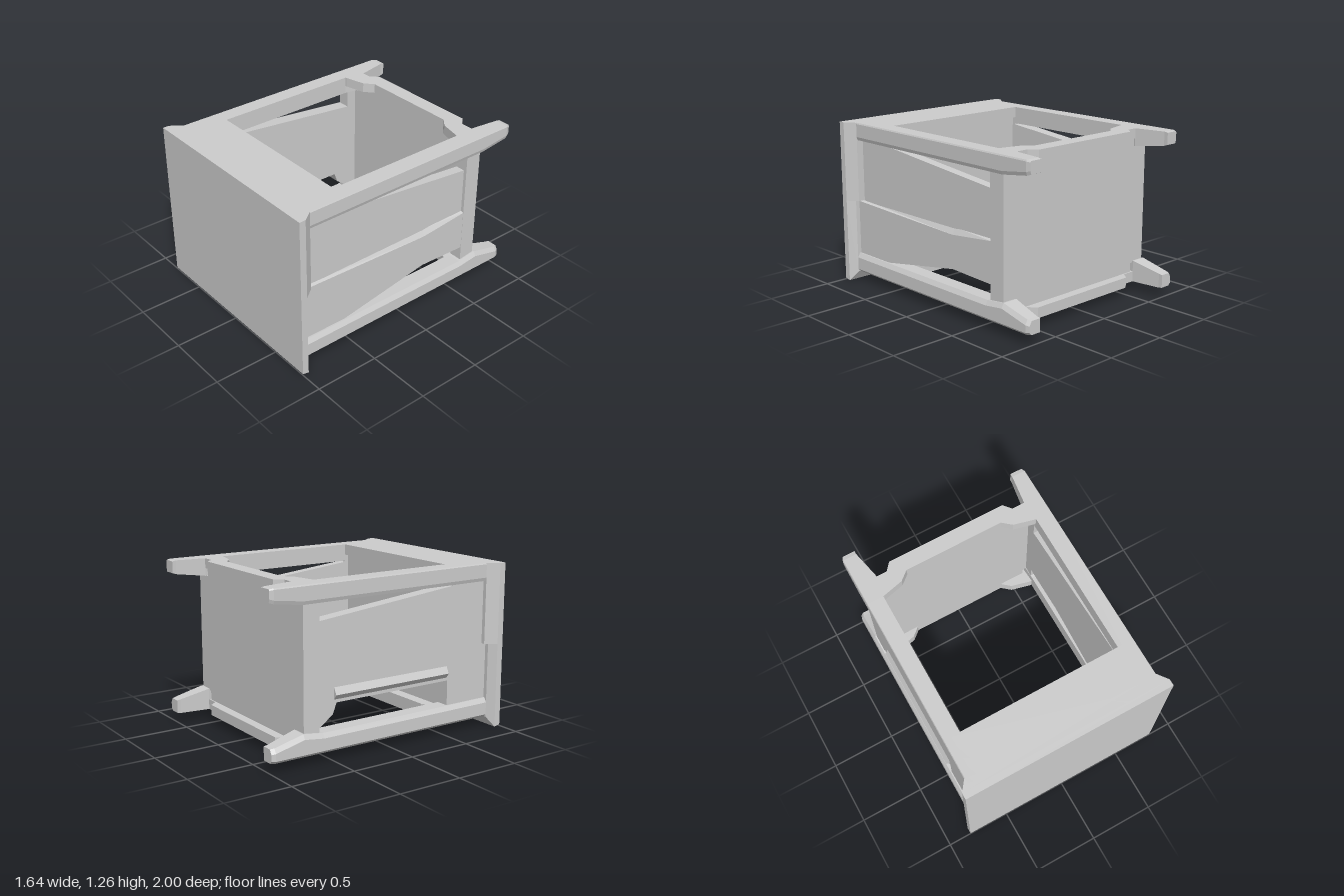
import * as THREE from 'three';

const casing = new THREE.MeshStandardMaterial({ color: 0xcccccc });
casing.name = 'grey casing';

// Closed loft along z; rings are counter-clockwise seen from +z, z ascending
function loft(rings) {
  const pos = [];
  const tri = (...pts) => pts.forEach((p) => pos.push(...p));
  const n = rings[0].pts.length;
  const at = (r, i) => [...r.pts[i % n], r.z];
  for (let k = 0; k + 1 < rings.length; k++) {
    const a = rings[k], b = rings[k + 1];
    for (let i = 0; i < n; i++) {
      tri(at(a, i), at(a, i + 1), at(b, i + 1));
      tri(at(a, i), at(b, i + 1), at(b, i));
    }
  }
  const first = rings[0], last = rings[rings.length - 1];
  for (let i = 1; i + 1 < n; i++) {
    tri(at(first, 0), at(first, i + 1), at(first, i));
    tri(at(last, 0), at(last, i), at(last, i + 1));
  }
  const g = new THREE.BufferGeometry();
  g.setAttribute('position', new THREE.Float32BufferAttribute(pos, 3));
  g.computeVertexNormals();
  return g;
}

const rect = (z, x0, x1, y0, y1) => ({ z, pts: [[x0, y0], [x1, y0], [x1, y1], [x0, y1]] });

// Rail section on side s, outer edges cut by [dx, dy] below and above
function railRing(s, z, x0, x1, y0, y1, low, high) {
  const pts = [[x0, y0], [x1 - low[0], y0], [x1, y0 + low[1]], [x1, y1 - high[1]], [x1 - high[0], y1], [x0, y1]]
    .map(([x, y]) => [s * x, y]);
  return { z, pts: s > 0 ? pts : pts.reverse() };
}

const outline = (pts) => pts.map(([a, b]) => new THREE.Vector2(a, b));

// Horizontal slab from [x, z] points
function slab(pts, y0, y1) {
  const g = new THREE.ExtrudeGeometry(new THREE.Shape(outline(pts)), { depth: y1 - y0, bevelEnabled: false });
  return g.rotateX(Math.PI / 2).translate(0, y1, 0);
}

// Upright panel from [z, y] points, between x0 and x1
function panel(pts, x0, x1) {
  const shape = new THREE.Shape(outline(pts.map(([z, y]) => [-z, y])));
  const g = new THREE.ExtrudeGeometry(shape, { depth: x1 - x0, bevelEnabled: false });
  return g.rotateY(Math.PI / 2).translate(x0, 0, 0);
}

export function createModel() {
  const model = new THREE.Group();
  model.name = 'openFrameCabinet';
  const add = (name, geometry) => {
    const mesh = new THREE.Mesh(geometry, casing);
    mesh.name = name;
    model.add(mesh);
  };

  // Front plate with its flared rim behind
  add('frontPlate', loft([rect(0.95, -0.82, 0.82, 0, 1.265), rect(1, -0.82, 0.82, 0.01, 1.265)]));
  add('upperRim', loft([rect(0.87, -0.76, 0.76, 0.65, 1.265), rect(0.95, -0.82, 0.82, 0.65, 1.265)]));
  add('lowerRim', loft([rect(0.91, -0.76, 0.76, 0.07, 0.65), rect(0.95, -0.82, 0.82, 0, 0.65)]));

  // Deep front block and back wall
  add('frontBlock', loft([rect(0.6, -0.7, 0.7, 0.15, 1.2), rect(0.95, -0.7, 0.7, 0.15, 1.2)]));
  add('backWall', loft([rect(-0.73, -0.73, 0.73, 0.22, 1.13), rect(-0.68, -0.73, 0.73, 0.22, 1.13)]));

  // Top and bottom front beams
  add('topFrontBeam', slab([[-0.7, 0.57], [0.7, 0.57], [0.7, 0.95], [-0.7, 0.95]], 1.18, 1.265));
  const beam = [[-0.7, 0.57], [-0.62, 0.57], [-0.47, 0.51], [0.47, 0.51], [0.62, 0.57], [0.7, 0.57], [0.7, 0.95], [-0.7, 0.95]];
  add('bottomFrontBeam', slab(beam, 0.07, 0.17));

  // Back crossbars, standing out behind the wall
  const bar = [[-0.65, -0.74], [-0.52, -0.74], [-0.47, -0.8], [0.47, -0.8], [0.52, -0.74], [0.65, -0.74],
    [0.65, -0.58], [0.62, -0.58], [0.46, -0.62], [0.39, -0.68], [-0.39, -0.68], [-0.46, -0.62], [-0.62, -0.58], [-0.65, -0.58]];
  const web = [[-0.6, -0.73], [0.6, -0.73], [0.6, -0.68], [-0.6, -0.68]];
  add('topBackBar', slab(bar, 1.19, 1.265));
  add('topBackWeb', slab(web, 1.12, 1.2));
  add('bottomBackBar', slab(bar, 0.07, 0.15));
  add('bottomBackWeb', slab(web, 0.14, 0.23));

  for (const s of [1, -1]) {
    const side = s > 0 ? 'left' : 'right';

    // Long rails ending in tapered prongs: [z, x0, x1, y0, y1]
    const inner = s > 0 ? 0.62 : 0.6;
    const rail = (rows, low, high) => loft(rows.map((r) => railRing(s, ...r, low, high)));
    add(side + 'TopRail', rail([
      [-1, 0.65, 0.75, 1.17, 1.26],
      [-0.97, 0.65, 0.76, 1.16, 1.265],
      [-0.74, inner, 0.76, 1.13, 1.265],
      [-0.58, 0.63, 0.76, 1.13, 1.265],
      [0.95, 0.63, 0.76, 1.13, 1.265],
    ], [0.008, 0.025], [0.005, 0.01]));
    add(side + 'BottomRail', rail([
      [-1, 0.65, 0.75, 0.075, 0.175],
      [-0.97, 0.65, 0.76, 0.07, 0.18],
      [-0.74, 0.62, 0.76, 0.07, 0.235],
      [-0.58, 0.63, 0.76, 0.07, 0.215],
      [0.93, 0.63, 0.76, 0.07, 0.22],
    ], [0.02, 0.02], [0.02, 0.035]));

    // Corner post
    add(side + 'BackPost', loft([
      rect(-0.73, s * 0.68 - 0.05, s * 0.68 + 0.05, 0.2, 1.15),
      rect(-0.6, s * 0.68 - 0.05, s * 0.68 + 0.05, 0.2, 1.15),
    ]));
  }

  // Side walls, open along the upper and lower rails
  const wallTop = [[-0.6, 1], [0.57, 1.12], [0.57, 1.14], [0.92, 1.14]];
  const leftFoot = [[0.92, 0.215], [0.57, 0.215], [-0.2, 0.345], [-0.6, 0.33]];
  const rightFoot = [[0.92, 0.215], [0.54, 0.215], [0.54, 0.41], [-0.46, 0.41], [-0.49, 0.33], [-0.6, 0.25]];
  add('leftWall', panel([...leftFoot, ...wallTop], 0.63, 0.705));
  add('rightWall', panel([...rightFoot, ...wallTop], -0.73, -0.63));

  // Thicker lower half of the left wall, with a sloping ledge on top
  const fold = [[-0.6, 0.64], [-0.2, 0.6], [0.92, 0.64]];
  add('leftLowerPanel', panel([...leftFoot, ...fold], 0.705, 0.728));
  add('leftLedge', loft(fold.map(([z, y]) => ({ z, pts: [[0.7, y], [0.728, y], [0.7, 0.65]] }))));

  // Sloping ledge above the low slot on the right side
  add('rightSlotLedge', loft([-0.48, 0.53].map((z) => ({ z, pts: [[-0.72, 0.54], [-0.757, 0.47], [-0.72, 0.42]] }))));
  return model;
}
